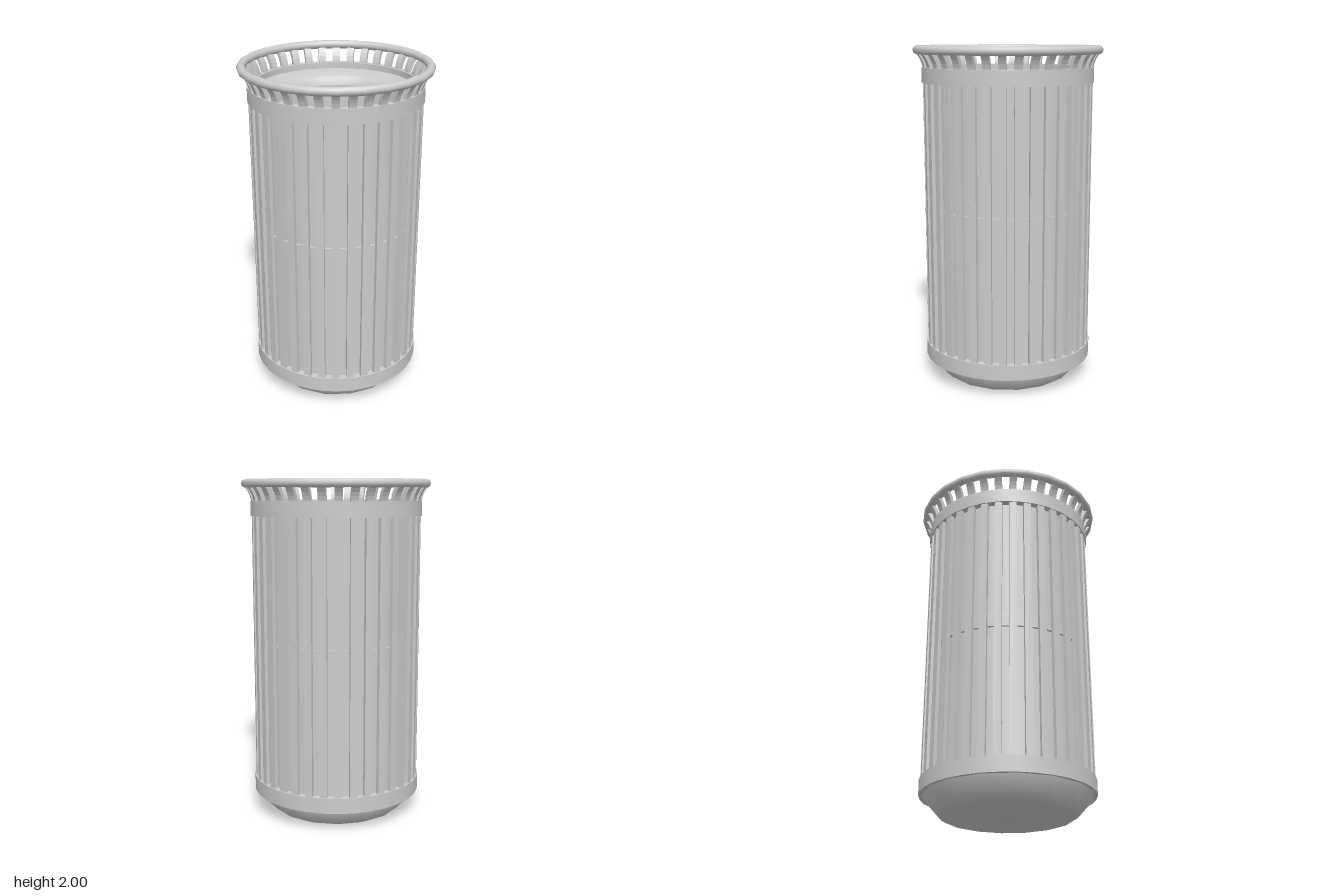
import * as THREE from 'three';
import { toCreasedNormals } from 'three/addons/utils/BufferGeometryUtils.js';

const SLATS = 36;

export function createModel() {
  const group = new THREE.Group();
  const material = new THREE.MeshStandardMaterial({ color: 0xcccccc, side: THREE.DoubleSide });

  const add = (name, geometry, parent = group) => {
    const mesh = new THREE.Mesh(geometry, material);
    mesh.name = name;
    parent.add(mesh);
    return mesh;
  };
  // Revolve [radius, height] pairs listed from bottom to top on the outside
  const lathe = (points, sides) =>
    new THREE.LatheGeometry(points.map(([r, y]) => new THREE.Vector2(r, y)), sides);
  // Flat hoop with square edges
  const hoop = (name, inner, outer, y0, y1) => add(name, toCreasedNormals(
    lathe([[inner, y0], [outer, y0], [outer, y1], [inner, y1], [inner, y0]], 32), 0.6));

  // Chamfered base
  add('base', toCreasedNormals(lathe(
    [[0, 0], [0.38, 0], [0.4, 0.012], [0.493, 0.115], [0.493, 0.13]], 16), 0.9));

  // Hoops holding the slats
  hoop('bottomBand', 0.47, 0.508, 0.115, 0.206);
  hoop('middleBand', 0.465, 0.479, 0.97, 1.06);
  hoop('topBand', 0.47, 0.508, 1.788, 1.876);

  // Inner bin with a floor
  add('liner', toCreasedNormals(lathe([[0, 0.13], [0.46, 0.13], [0.46, 1.82]], 32), 0.6));

  // Lid sloping down to a rounded opening
  add('lid', lathe([[0.335, 1.77], [0.34, 1.79], [0.352, 1.812], [0.375, 1.826],
    [0.42, 1.834], [0.485, 1.842]], 16));

  // Vertical slats that flare outward under the rim
  const outline = new THREE.Shape();
  outline.moveTo(0.478, 0.13);
  outline.lineTo(0.5, 0.13);
  outline.lineTo(0.5, 1.86);
  outline.quadraticCurveTo(0.505, 1.92, 0.548, 1.965);
  outline.lineTo(0.528, 1.975);
  outline.quadraticCurveTo(0.483, 1.93, 0.478, 1.86);
  outline.closePath();
  const width = (Math.PI / SLATS) * 0.5;
  const slatGeometry = new THREE.ExtrudeGeometry(outline,
    { depth: width, bevelEnabled: false, curveSegments: 5 });
  slatGeometry.translate(0, 0, -width / 2);
  const slats = new THREE.Group();
  slats.name = 'slats';
  for (let i = 0; i < SLATS; i++) {
    add('slat', slatGeometry, slats).rotation.y = (i / SLATS) * Math.PI * 2;
  }
  group.add(slats);

  // Rolled top rim
  const rim = new THREE.TorusGeometry(0.535, 0.025, 10, 25);
  rim.rotateX(Math.PI / 2).rotateY(Math.PI).translate(0, 1.975, 0);
  add('rim', rim);

  return group;
}
